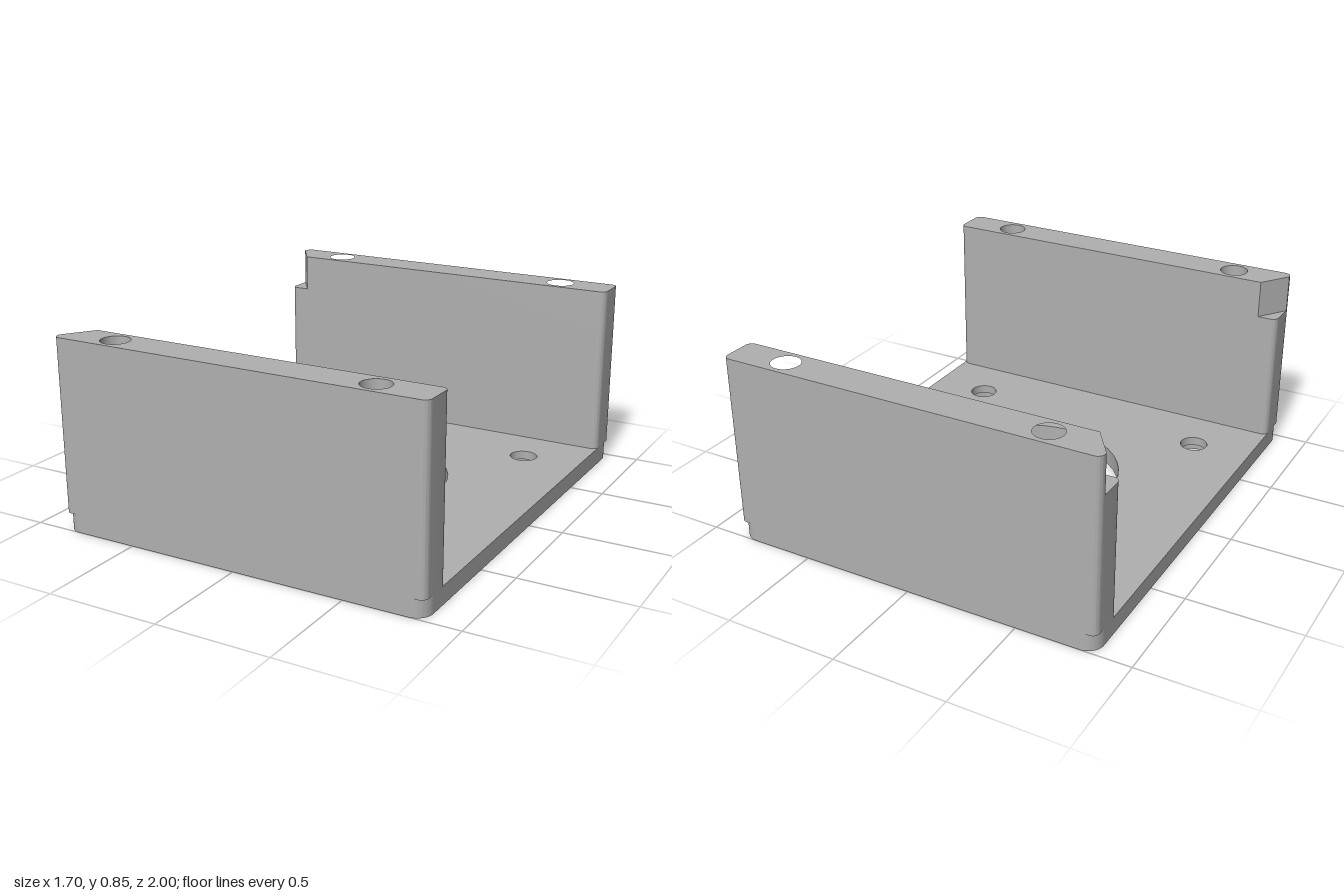
import * as THREE from 'three';
import { toCreasedNormals } from 'three/addons/utils/BufferGeometryUtils.js';

const W = 0.85, D = 1, WALL_IN = 0.83, TOP = 0.85, PLATE = 0.08;
const BORE = 0.063;

// Closed outline from corners [x, z, radius]; a radius of 0 stays sharp
function outline(corners) {
  const shape = new THREE.Shape();
  const n = corners.length;
  const toward = (a, b, d) => {
    const p = new THREE.Vector2(a[0], -a[1]);
    const q = new THREE.Vector2(b[0], -b[1]);
    return p.clone().add(q.sub(p).setLength(d));
  };
  corners.forEach((c, i) => {
    const a = toward(c, corners[(i + n - 1) % n], c[2]);
    const b = toward(c, corners[(i + 1) % n], c[2]);
    if (i === 0) shape.moveTo(a.x, a.y);
    else shape.lineTo(a.x, a.y);
    if (c[2] > 0) {
      // Cubic approximation of a quarter circle
      const k = c[2] * 0.4477;
      const p = toward(c, corners[(i + n - 1) % n], k);
      const q = toward(c, corners[(i + 1) % n], k);
      shape.bezierCurveTo(p.x, p.y, q.x, q.y, b.x, b.y);
    }
  });
  shape.closePath();
  return shape;
}

function addHole(shape, x, z, r) {
  const hole = new THREE.Path();
  hole.absarc(x, -z, r, 0, Math.PI * 2, true);
  shape.holes.push(hole);
}

// Vertical slab between two heights
function slab(name, shape, y0, y1, material) {
  const geo = new THREE.ExtrudeGeometry(shape, { depth: y1 - y0, bevelEnabled: false, curveSegments: 20 });
  geo.rotateX(-Math.PI / 2);
  geo.translate(0, y0, 0);
  const mesh = new THREE.Mesh(toCreasedNormals(geo, 0.6), material);
  mesh.name = name;
  return mesh;
}

export function createModel() {
  const group = new THREE.Group();
  group.name = 'mountingBracket';
  const grey = new THREE.MeshStandardMaterial({ color: 0xb0b0b0 });
  grey.name = 'plain grey';

  // Base plate in two layers, so the screw holes are counterbored from below
  const plateShape = (screwRadius) => {
    const R = 0.07;
    const s = outline([[-W, D, R], [W, D, R], [W, -D, R], [-W, -D, R]]);
    addHole(s, 0, 0, 0.417);
    for (const sx of [-1, 1]) for (const sz of [-1, 1]) {
      addHole(s, sx * 0.58, sz * 0.58, screwRadius);
      addHole(s, sx * 0.597, sz * 0.915, BORE);
    }
    return s;
  };
  const split = 0.04;
  group.add(slab('basePlateLower', plateShape(0.097), 0, split, grey));
  group.add(slab('basePlateUpper', plateShape(BORE), split, PLATE, grey));

  // Front and back walls, each with a corner notch at the top inner end
  const notchY = 0.68, r = 0.03;
  for (const [side, name] of [[1, 'frontWall'], [-1, 'backWall']]) {
    const wall = new THREE.Group();
    wall.name = name;
    const outer = side * D, inner = side * WALL_IN;
    const full = outline([[-W, outer, r], [W, outer, r], [W, inner, r], [-W, inner, r]]);
    const notched = outline([[-W, outer, r], [W, outer, r], [W, inner, r],
      [-0.76, inner, 0], [-W, side * 0.96, 0]]);
    for (const s of [full, notched])
      for (const sx of [-1, 1]) addHole(s, sx * 0.597, side * 0.915, BORE);
    wall.add(slab(name + 'Body', full, PLATE, notchY, grey));
    wall.add(slab(name + 'NotchedTop', notched, notchY, TOP, grey));
    group.add(wall);
  }
  return group;
}
